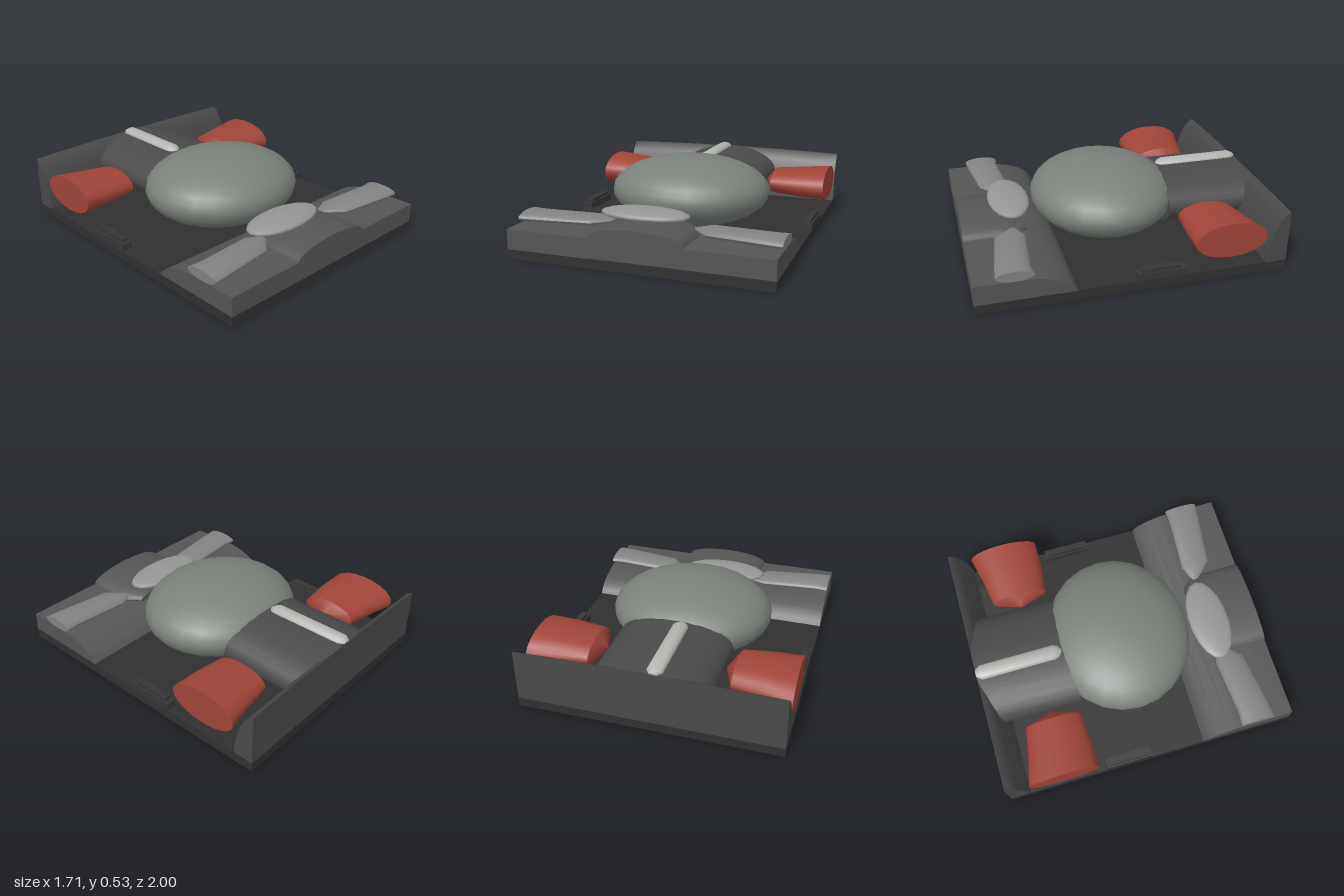
import * as THREE from 'three';
import { toCreasedNormals } from 'three/addons/utils/BufferGeometryUtils.js';

const W = 0.855; // half width of the plate

export function createModel() {
  const model = new THREE.Group();

  const add = (name, geometry, color) => {
    const mesh = new THREE.Mesh(geometry, new THREE.MeshStandardMaterial({ color }));
    mesh.name = name;
    model.add(mesh);
    return mesh;
  };

  const box = (x0, x1, y0, y1, z0, z1) =>
    new THREE.BoxGeometry(x1 - x0, y1 - y0, z1 - z0)
      .translate((x0 + x1) / 2, (y0 + y1) / 2, (z0 + z1) / 2);

  const ellipsoid = (x, y, z, rx, ry, rz, w, h) =>
    new THREE.SphereGeometry(1, w, h).scale(rx, ry, rz).translate(x, y, z);

  // Capped loft along z through elliptical sections [z, centreX, centreY, radiusX, radiusY]
  const loft = (sections, n = 20) => {
    const pos = [], idx = [];
    for (const [z, cx, cy, rx, ry] of sections)
      for (let j = 0; j < n; j++) {
        const t = (j / n) * Math.PI * 2;
        pos.push(cx + rx * Math.cos(t), cy + ry * Math.sin(t), z);
      }
    const last = sections.length - 1;
    for (let i = 0; i < last; i++)
      for (let j = 0; j < n; j++) {
        const k = (j + 1) % n;
        const a = i * n + j, b = i * n + k, c = a + n, d = b + n;
        idx.push(a, b, d, a, d, c);
      }
    for (let j = 1; j < n - 1; j++) {
      idx.push(0, j + 1, j);
      idx.push(last * n, last * n + j, last * n + j + 1);
    }
    const g = new THREE.BufferGeometry();
    g.setAttribute('position', new THREE.Float32BufferAttribute(pos, 3));
    g.setIndex(idx);
    return toCreasedNormals(g, 0.7);
  };

  // Side profile of [z, y] points swept across the full width
  const sweep = (points, steps = 1) => {
    const shape = new THREE.Shape(points.map(([z, y]) => new THREE.Vector2(-z, y)));
    return new THREE.ExtrudeGeometry(shape, { depth: 2 * W, steps, bevelEnabled: false })
      .translate(0, 0, -W).rotateY(Math.PI / 2);
  };

  // Base plate
  add('basePlate', box(-W, W, 0, 0.065, -1, 1), 0x303030);

  // Front shelf with its sloping inner edge
  const shelf = sweep([[1, 0.06], [1, 0.19], [0.63, 0.188], [0.56, 0.175],
    [0.48, 0.15], [0.42, 0.117], [0.39, 0.09], [0.37, 0.06]]);
  add('frontShelf', toCreasedNormals(shelf, 0.6), 0x555555);

  // Rear wall with a concave-leaning inner face and slightly crowned rim
  const wall = sweep([[-1, 0.06], [-0.862, 0.06], [-0.868, 0.12], [-0.882, 0.2],
    [-0.905, 0.28], [-0.935, 0.345], [-0.965, 0.385], [-1, 0.407]], 12);
  const wp = wall.attributes.position;
  for (let i = 0; i < wp.count; i++) {
    const x = wp.getX(i) / W, y = wp.getY(i);
    if (y > 0.3) wp.setY(i, y + 0.013 * (1 - x * x));
  }
  add('rearWall', toCreasedNormals(wall, 0.6), 0x4a4a4a);

  // Central body and the column behind it
  add('centralBody', ellipsoid(0, 0.293, 0.005, 0.553, 0.237, 0.492, 24, 16), 0x7a807a);
  add('rearColumn', loft([[-1, 0, 0.258, 0.385, 0.167], [-0.37, 0, 0.258, 0.385, 0.167]], 28), 0x4a4a4a);

  // Pale rod lying on the column
  add('rod', loft([
    [-1, -0.052, 0.422, 0.025, 0.015], [-0.965, -0.052, 0.422, 0.052, 0.033],
    [-0.46, -0.052, 0.422, 0.052, 0.033], [-0.43, -0.052, 0.422, 0.04, 0.02],
    [-0.41, -0.052, 0.422, 0.012, 0.006],
  ], 14), 0xb4b6b2);

  // Low mound at the front edge and the lens resting on it
  add('frontMound', loft([
    [0.57, 0, 0.19, 0.23, 0.045], [0.65, 0, 0.19, 0.3, 0.068], [0.74, 0, 0.19, 0.31, 0.075],
    [1, 0, 0.19, 0.31, 0.075],
  ], 24), 0x555555);
  add('frontLens', ellipsoid(-0.073, 0.27, 0.65, 0.298, 0.04, 0.14, 18, 12), 0x969696);

  // Paired parts, cut flat at the sides of the plate
  for (const s of [1, -1]) {
    const side = s > 0 ? 'left' : 'right';
    // Sections here are [distance from middle, z, y, radiusZ, radiusY]
    const sideLoft = (sections) =>
      loft(sections.map(([a, z, y, rz, ry]) => [a, -s * z, y, rz, ry])).rotateY(s * Math.PI / 2);

    add(side + 'RedLobe', sideLoft([
      [0.4, -0.59, 0.262, 0.015, 0.008], [0.465, -0.588, 0.262, 0.19, 0.085],
      [0.66, -0.594, 0.262, 0.217, 0.104], [W, -0.615, 0.262, 0.24, 0.118],
    ]), 0xa04438);
    add(side + 'FrontLobe', sideLoft([
      [0.26, 0.67, 0.215, 0.015, 0.006], [0.38, 0.707, 0.22, 0.1, 0.03],
      [0.77, 0.748, 0.222, 0.11, 0.034], [W, 0.748, 0.222, 0.118, 0.034],
    ]), 0x828282);

    // Stepped clip on the plate edge
    const [a, b] = s > 0 ? [0.785, W] : [-W, -0.785];
    add(side + 'ClipBase', box(a, b, 0.06, 0.11, -0.32, -0.005), 0x363636);
    add(side + 'ClipTop', box(a + 0.012, b - 0.012, 0.1, 0.133, -0.29, -0.035), 0x363636);
  }
  return model;
}
